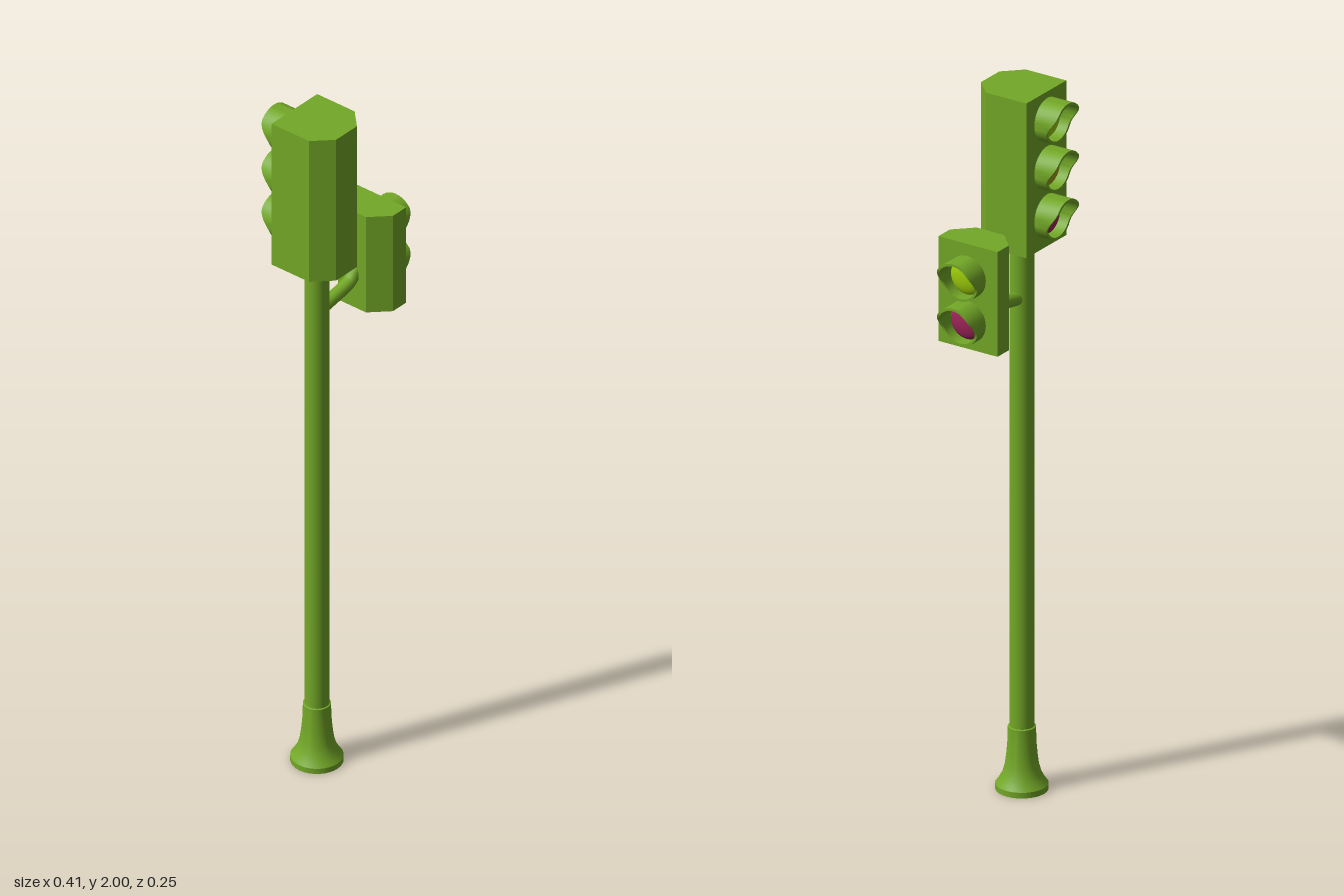
import * as THREE from 'three';
import { toCreasedNormals } from 'three/addons/utils/BufferGeometryUtils.js';

const paint = (color) => new THREE.MeshStandardMaterial({ color, side: THREE.DoubleSide });
const green = paint(0x73a827);
const lensGreen = paint(0x9ccc08), lensAmber = paint(0xa39a12), lensRed = paint(0x9c2458);

function add(parent, name, geometry, material = green) {
  const mesh = new THREE.Mesh(geometry, material);
  mesh.name = name;
  parent.add(mesh);
  return mesh;
}

// Box with two chamfered rear edges; its front face lies on z = 0
function housingGeometry(width, depth, height, chamfer = 0.05) {
  const w = width / 2;
  const shape = new THREE.Shape([
    [-w, 0], [w, 0], [w, depth - chamfer], [w - chamfer, depth],
    [chamfer - w, depth], [-w, depth - chamfer],
  ].map(([x, y]) => new THREE.Vector2(x, y)));
  return new THREE.ExtrudeGeometry(shape, { depth: height, bevelEnabled: false }).rotateX(-Math.PI / 2);
}

// Ring whose length grows from a short lower lip to a long upper hood
function visorGeometry(radius) {
  const inner = radius - 0.007;
  const profile = [[radius, 0], [radius, 1], [inner, 1], [inner, 0]].map((p) => new THREE.Vector2(...p));
  const geometry = new THREE.LatheGeometry(profile, 40).rotateX(Math.PI / 2);
  const pos = geometry.attributes.position;
  for (let i = 0; i < pos.count; i++) {
    const t = THREE.MathUtils.smoothstep(pos.getY(i) / radius, -0.45, 0.65);
    pos.setZ(i, pos.getZ(i) * (0.035 + 0.032 * t));
  }
  return toCreasedNormals(geometry, 0.7);
}

// Signal head facing +z, with lamps at the given heights
function signalHead(name, width, depth, height, radius, lamps) {
  const head = new THREE.Group();
  head.name = name;
  add(head, 'housing', housingGeometry(width, depth, height));
  const visor = visorGeometry(radius);
  const lens = new THREE.SphereGeometry(radius - 0.008, 32, 10, 0, Math.PI * 2, 0, Math.PI / 2)
    .rotateX(Math.PI / 2).scale(1, 1, 0.4);
  for (const [y, material] of lamps) {
    add(head, 'visor', visor).position.set(0, y, 0.003);
    add(head, 'lens', lens, material).position.set(0, y, 0.002);
  }
  return head;
}

export function createModel() {
  const model = new THREE.Group();
  model.name = 'trafficLight';
  const px = -0.116, pz = 0.023;

  // Pole and flared hollow foot
  add(model, 'pole', new THREE.CylinderGeometry(0.033, 0.033, 1.4, 32)).position.set(px, 0.87, pz);
  const foot = [[0.07, 0], [0.07, 0.016], [0.062, 0.027], [0.052, 0.045], [0.045, 0.07],
    [0.041, 0.1], [0.038, 0.135], [0.037, 0.178], [0.032, 0.18]];
  add(model, 'foot', toCreasedNormals(
    new THREE.LatheGeometry(foot.map((p) => new THREE.Vector2(...p)), 32), 0.6)).position.set(px, 0, pz);

  // Bent arm carrying the side signal
  const path = new THREE.CatmullRomCurve3([
    [px, 1.398], [-0.06, 1.408], [-0.005, 1.419], [0.02, 1.428], [0.038, 1.448], [0.06, 1.48],
  ].map(([x, y]) => new THREE.Vector3(x, y, 0.0215)));
  add(model, 'arm', new THREE.TubeGeometry(path, 28, 0.0185, 16));

  // Three-lamp head on top, facing the rear
  const main = signalHead('mainSignal', 0.185, 0.178, 0.44, 0.06,
    [[0.09, lensRed], [0.227, lensAmber], [0.364, lensGreen]]);
  main.position.set(-0.115, 1.56, -0.055);
  main.rotation.y = Math.PI;
  model.add(main);

  // Two-lamp head facing the left side
  const side = signalHead('sideSignal', 0.187, 0.103, 0.298, 0.0585,
    [[0.08, lensRed], [0.207, lensGreen]]);
  side.position.set(0.136, 1.34, 0.0215);
  side.rotation.y = Math.PI / 2;
  model.add(side);

  return model;
}
